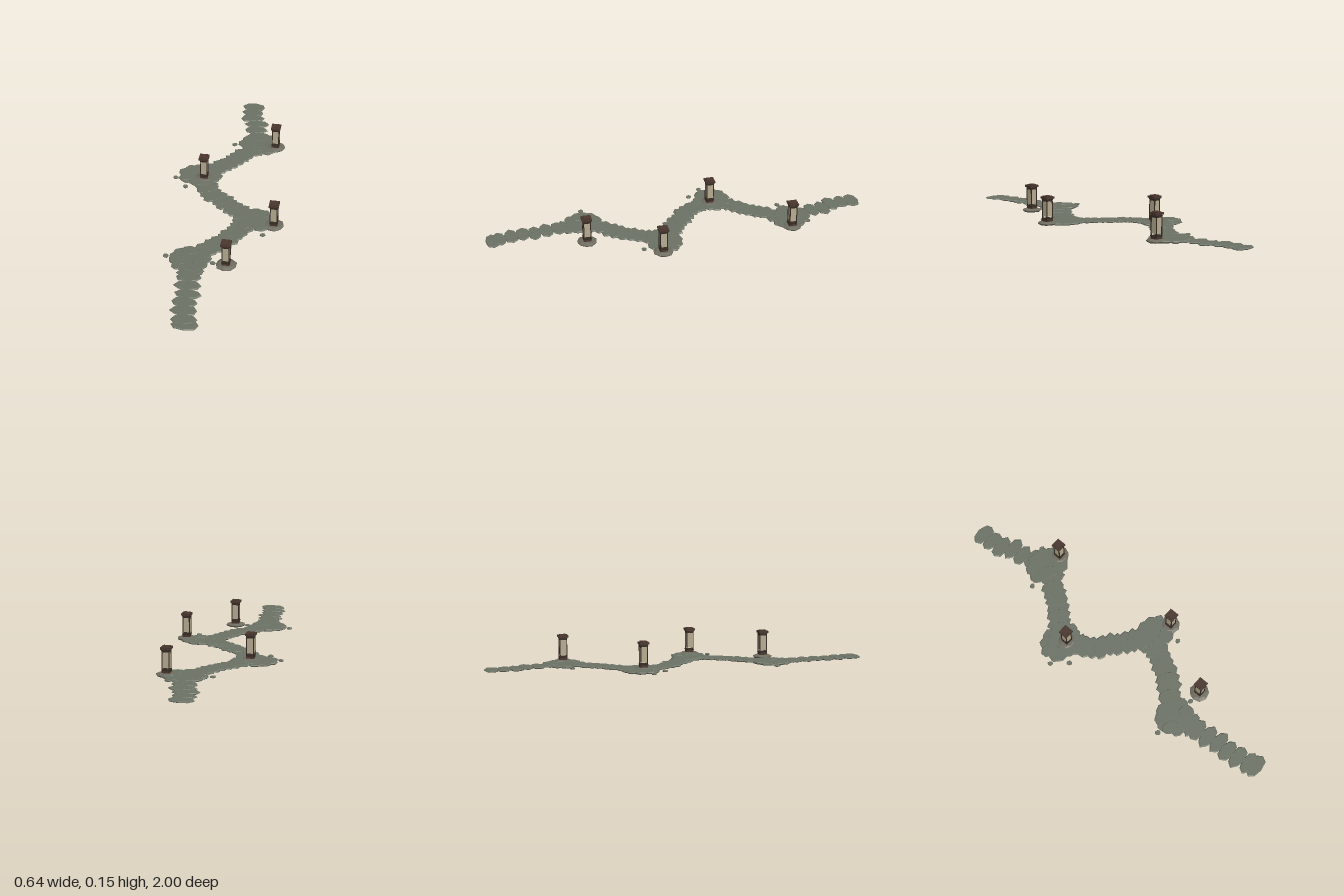
import * as THREE from 'three';

const mat = (name, color) => {
  const m = new THREE.MeshStandardMaterial({ color });
  m.name = name;
  return m;
};

export function createModel() {
  const stone = mat('mossy stone', 0x6d7367);
  const plinthStone = mat('plinth stone', 0x6f6c60);
  const wood = mat('dark wood', 0x4a372f);
  const iron = mat('post brown', 0x352a24);
  const paper = mat('lantern paper', 0xb9ad92);
  stone.flatShading = plinthStone.flatShading = true;

  const root = new THREE.Group();
  root.name = 'lanternPath';

  let seed = 17;
  const rand = () => {
    seed = (seed * 16807) % 2147483647;
    return seed / 2147483647;
  };
  const jitter = (a) => (rand() * 2 - 1) * a;

  // Irregular flat slab: bevelled top and bottom around a wider middle
  function slab(name, material, x, z, rx, rz, y0, y1, turn, sides, topScale = 0.9, rough = 0.1) {
    const radii = Array.from({ length: sides }, () => 1 + jitter(rough));
    const h = y1 - y0;
    const profile = [[0, 0], [0.86, 0], [1, h * 0.35], [1, h * 0.6], [topScale, h], [0, h]];
    const geo = new THREE.LatheGeometry(profile.map(([r, y]) => new THREE.Vector2(r, y)), sides);
    const p = geo.attributes.position;
    for (let i = 0; i < p.count; i++) {
      const k = radii[Math.floor(i / profile.length) % sides];
      p.setXYZ(i, p.getX(i) * rx * k, p.getY(i), p.getZ(i) * rz * k);
    }
    geo.computeVertexNormals();
    const mesh = new THREE.Mesh(geo, material);
    mesh.name = name;
    mesh.position.set(x, y0, z);
    mesh.rotation.y = turn;
    root.add(mesh);
  }

  // Stepping stones laid across a zigzag centre line
  const line = [
    [0, -0.962], [-0.005, -0.9], [0.03, -0.8], [0.055, -0.7], [0.08, -0.6], [0.04, -0.5],
    [-0.05, -0.38], [-0.14, -0.27], [-0.15, -0.18], [-0.08, -0.07], [0.02, 0.02], [0.13, 0.1],
    [0.1, 0.2], [0.04, 0.3], [-0.04, 0.4], [-0.1, 0.5], [-0.08, 0.6], [-0.07, 0.69],
    [-0.07, 0.76], [-0.06, 0.83], [-0.055, 0.89], [-0.036, 0.96],
  ];
  const curve = new THREE.CatmullRomCurve3(line.map(([x, z]) => new THREE.Vector3(x, 0, z)));
  // Loose spacing at both ends, denser in the bends
  let u = 0;
  const total = curve.getLength();
  while (u <= 1.0001) {
    const t = Math.min(u, 1);
    const c = curve.getPointAt(t), d = curve.getTangentAt(t);
    const end = Math.abs(c.z) > 0.6;
    const top = 0.011 + rand() * 0.002;
    slab('steppingStone', stone, c.x + (t > 0 && t < 1 ? jitter(0.007) : 0), c.z,
      0.066, 0.037, 0.002, top, Math.atan2(d.x, d.z) * (end ? 0.3 : 0.8) + jitter(0.08), 8);
    u += (end ? 0.062 : 0.042) / total;
    if (t < 1 && u > 1 && u < 1 + 0.03 / total) u = 1;
  }

  // Wider paved landings at the bends
  const landings = [
    [0.085, -0.58, 0.115, 0.105], [-0.185, -0.235, 0.115, 0.1],
    [0.165, 0.11, 0.115, 0.092], [-0.105, 0.48, 0.1, 0.1],
  ];
  for (const [x, z, rx, rz] of landings) {
    slab('landingCentre', stone, x, z, rx * 0.75, rz * 0.75, 0.002, 0.0125, jitter(0.5), 10);
    for (let i = 0; i < 11; i++) {
      const a = (i / 11) * Math.PI * 2 + jitter(0.15);
      slab('landingStone', stone, x + Math.cos(a) * rx * 0.64, z + Math.sin(a) * rz * 0.64,
        0.046, 0.036, 0.002, 0.011 + rand() * 0.003, jitter(0.5), 8);
    }
  }

  // Small loose pebbles
  const pebbles = [[-0.245, -0.122], [-0.312, -0.195], [0.222, 0.226], [0.012, 0.49],
    [-0.228, 0.472], [-0.05, -0.56], [0.145, -0.67], [-0.035, 0.575]];
  for (const [x, z] of pebbles) slab('pebble', stone, x, z, 0.015, 0.013, 0.002, 0.01, jitter(1), 7);

  // Lantern parts: [name, material, width, bottom, top]
  const blocks = [
    ['lanternFoot', wood, 0.04, 0.015, 0.0255],
    ['lowerRail', iron, 0.042, 0.028, 0.033],
    ['paperShade', paper, 0.034, 0.042, 0.121],
    ['upperRail', iron, 0.039, 0.121, 0.127],
    ['collar', iron, 0.042, 0.128, 0.132],
    ['collarCore', wood, 0.034, 0.126, 0.135],
    ['footCore', wood, 0.036, 0.0255, 0.029],
    ['roof', wood, 0.051, 0.134, 0.145],
    ['roofCap', wood, 0.034, 0.145, 0.149],
  ];
  const box = (name, material, w, y0, y1, x = 0, z = 0) => {
    const m = new THREE.Mesh(new THREE.BoxGeometry(w, y1 - y0, w), material);
    m.name = name;
    m.position.set(x, (y0 + y1) / 2, z);
    return m;
  };
  for (const [x, z] of [[0.178, -0.57], [-0.16, -0.215], [0.267, 0.137], [0.08, 0.492]]) {
    slab('lanternPlinth', plinthStone, x, z, 0.053, 0.05, 0, 0.0165, jitter(0.4), 9, 0.7, 0.05);
    const lantern = new THREE.Group();
    lantern.name = 'lantern';
    lantern.position.set(x, 0, z);
    for (const b of blocks) lantern.add(box(...b));
    for (const sx of [-1, 1]) for (const sz of [-1, 1])
      lantern.add(box('cornerPost', iron, 0.0045, 0.016, 0.13, sx * 0.0175, sz * 0.0175));
    root.add(lantern);
  }
  return root;
}
